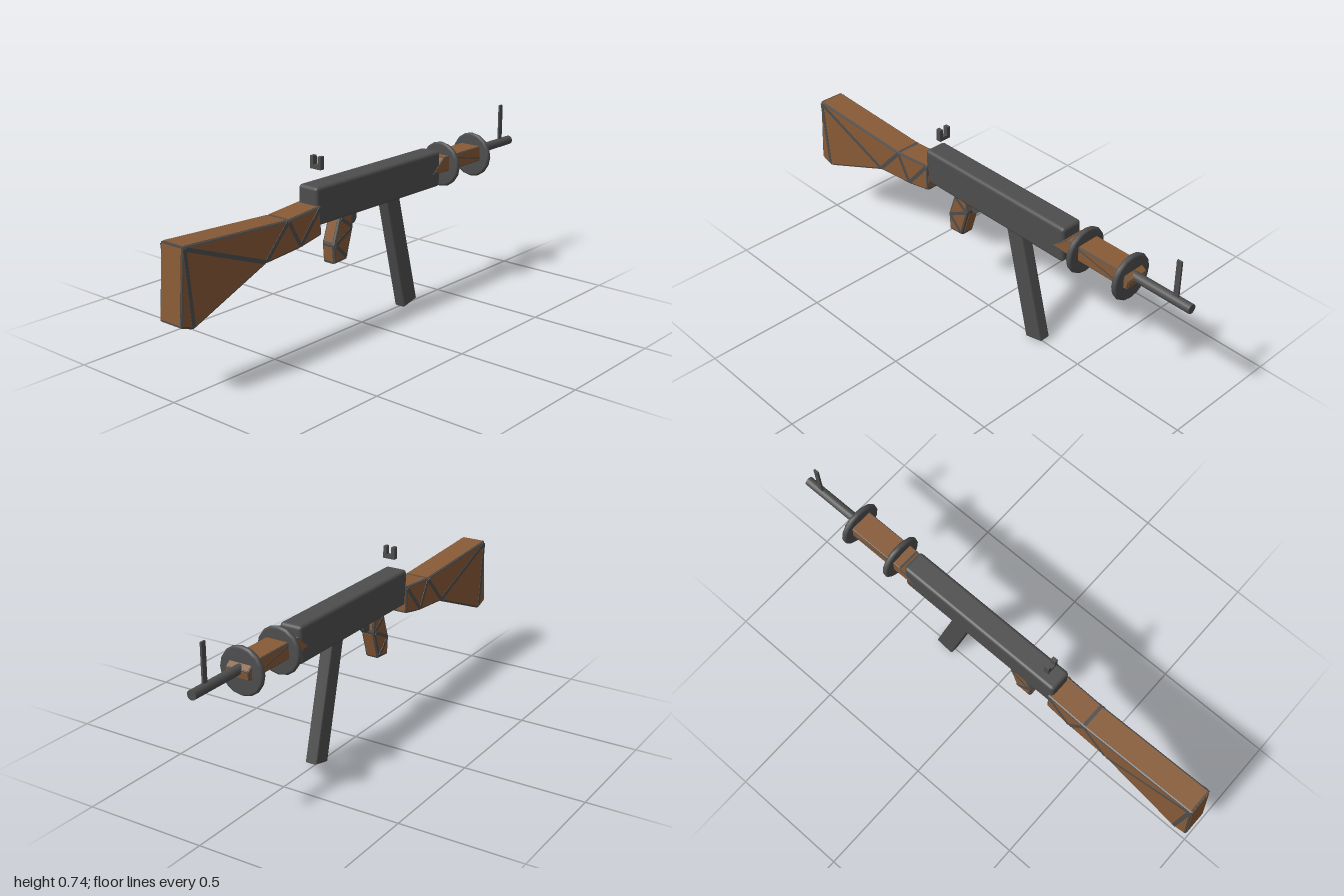
import * as THREE from 'three';
import { RoundedBoxGeometry } from 'three/addons/geometries/RoundedBoxGeometry.js';

const metal = new THREE.MeshStandardMaterial({ color: 0x4d4d4d });
metal.name = 'gunmetal';
const wood = new THREE.MeshStandardMaterial({ color: 0x875a36 });
wood.name = 'walnut wood';

function add(parent, name, geometry, material, x = 0, y = 0, z = 0) {
  const mesh = new THREE.Mesh(geometry, material);
  mesh.name = name;
  mesh.position.set(x, y, z);
  parent.add(mesh);
  return mesh;
}

// bar running between two [z, y] points
function bar(parent, name, a, b, width, thick, material, x = 0, trim = 0) {
  const dz = b[0] - a[0], dy = b[1] - a[1];
  const geo = new THREE.BoxGeometry(width, thick, Math.hypot(dz, dy) - 2 * trim);
  const mesh = add(parent, name, geo, material, x, (a[1] + b[1]) / 2, (a[0] + b[0]) / 2);
  mesh.rotation.x = -Math.atan2(dy, dz);
}

// side outline in [z, y] points, extruded across x with a chamfered edge
function slab(points, halfWidth, bevel) {
  const shape = new THREE.Shape(points.map(p => new THREE.Vector2(p[0], p[1])));
  const depth = 2 * (halfWidth - bevel);
  const geo = new THREE.ExtrudeGeometry(shape, {
    depth, bevelEnabled: true, bevelSize: bevel, bevelThickness: bevel, bevelOffset: -bevel, bevelSegments: 2
  });
  return geo.translate(0, 0, -depth / 2).rotateY(-Math.PI / 2);
}

// wooden part: metal-trimmed edges, wooden faces, metal inlay lines on both sides
function inlaid(parent, name, points, halfWidth, bevel, lines, lineWidth) {
  const group = new THREE.Group();
  group.name = name;
  parent.add(group);
  add(group, name + 'Body', slab(points, halfWidth, bevel), [wood, metal]);
  points.forEach((p, i) => {
    const q = points[(i + 1) % points.length];
    bar(group, name + 'Panel', p, q, 2 * (halfWidth - bevel), 0.003, wood, 0, bevel);
  });
  for (const [a, b] of lines)
    for (const side of [-1, 1])
      bar(group, name + 'Inlay', a, b, 0.003, lineWidth, metal, side * halfWidth, 0.004);
}

export function createModel() {
  const model = new THREE.Group();
  model.name = 'rifle';

  // receiver
  add(model, 'receiver', new RoundedBoxGeometry(0.096, 0.15, 0.75, 2, 0.014), metal, 0, 0.56, -0.065);

  // shoulder stock
  const stock = [[0.977, 0.575], [0.998, 0.29], [0.94, 0.27], [0.585, 0.415],
    [0.405, 0.43], [0.295, 0.452], [0.295, 0.565], [0.47, 0.55]];
  inlaid(model, 'stock', stock, 0.056, 0.007, [
    [[0.97, 0.57], [0.942, 0.277]], [[0.968, 0.565], [0.588, 0.421]],
    [[0.588, 0.42], [0.47, 0.546]], [[0.47, 0.546], [0.408, 0.436]],
    [[0.408, 0.436], [0.3, 0.56]]
  ], 0.016);

  // pistol grip
  const grip = [[0.162, 0.49], [0.199, 0.38], [0.193, 0.303], [0.123, 0.308], [0.086, 0.43], [0.09, 0.49]];
  inlaid(model, 'pistolGrip', grip, 0.032, 0.01, [
    [[0.16, 0.48], [0.095, 0.435]], [[0.095, 0.43], [0.19, 0.38]],
    [[0.19, 0.38], [0.125, 0.318]]
  ], 0.014);

  // trigger
  add(model, 'trigger', new THREE.CylinderGeometry(0.028, 0.028, 0.02, 12).rotateZ(Math.PI / 2), metal, 0, 0.462, 0.07);

  // magazine, leaning forward
  const magazine = [[-0.124, 0.484], [-0.242, 0.001], [-0.322, 0.02], [-0.199, 0.503]];
  add(model, 'magazine', slab(magazine, 0.026, 0.007), metal);

  // handguard
  const guard = [[-0.39, 0.545], [-0.46, 0.602], [-0.72, 0.602], [-0.757, 0.575], [-0.752, 0.54], [-0.45, 0.54]];
  inlaid(model, 'handguard', guard, 0.05, 0.004, [[[-0.49, 0.598], [-0.72, 0.55]]], 0.005);

  // rounded flange discs around the handguard
  const rim = [[0, -0.012], [0.085, -0.012], [0.092, -0.008], [0.095, 0], [0.092, 0.008], [0.085, 0.012], [0, 0.012]]
    .map(p => new THREE.Vector2(p[0], p[1]));
  for (const z of [-0.507, -0.724])
    add(model, 'flange', new THREE.LatheGeometry(rim, 16).rotateX(Math.PI / 2), metal, 0, 0.559, z);

  // barrel and front sight post
  add(model, 'barrel', new THREE.CylinderGeometry(0.019, 0.019, 0.3, 16).rotateX(Math.PI / 2), metal, 0, 0.572, -0.85);
  add(model, 'frontSight', new THREE.BoxGeometry(0.008, 0.16, 0.021), metal, 0, 0.66, -0.93);

  // notched rear sight
  add(model, 'rearSightBase', new THREE.BoxGeometry(0.052, 0.016, 0.021), metal, 0, 0.698, 0.255);
  for (const side of [-1, 1])
    add(model, 'rearSightProng', new THREE.BoxGeometry(0.015, 0.036, 0.021), metal, side * 0.0185, 0.722, 0.255);

  return model;
}
